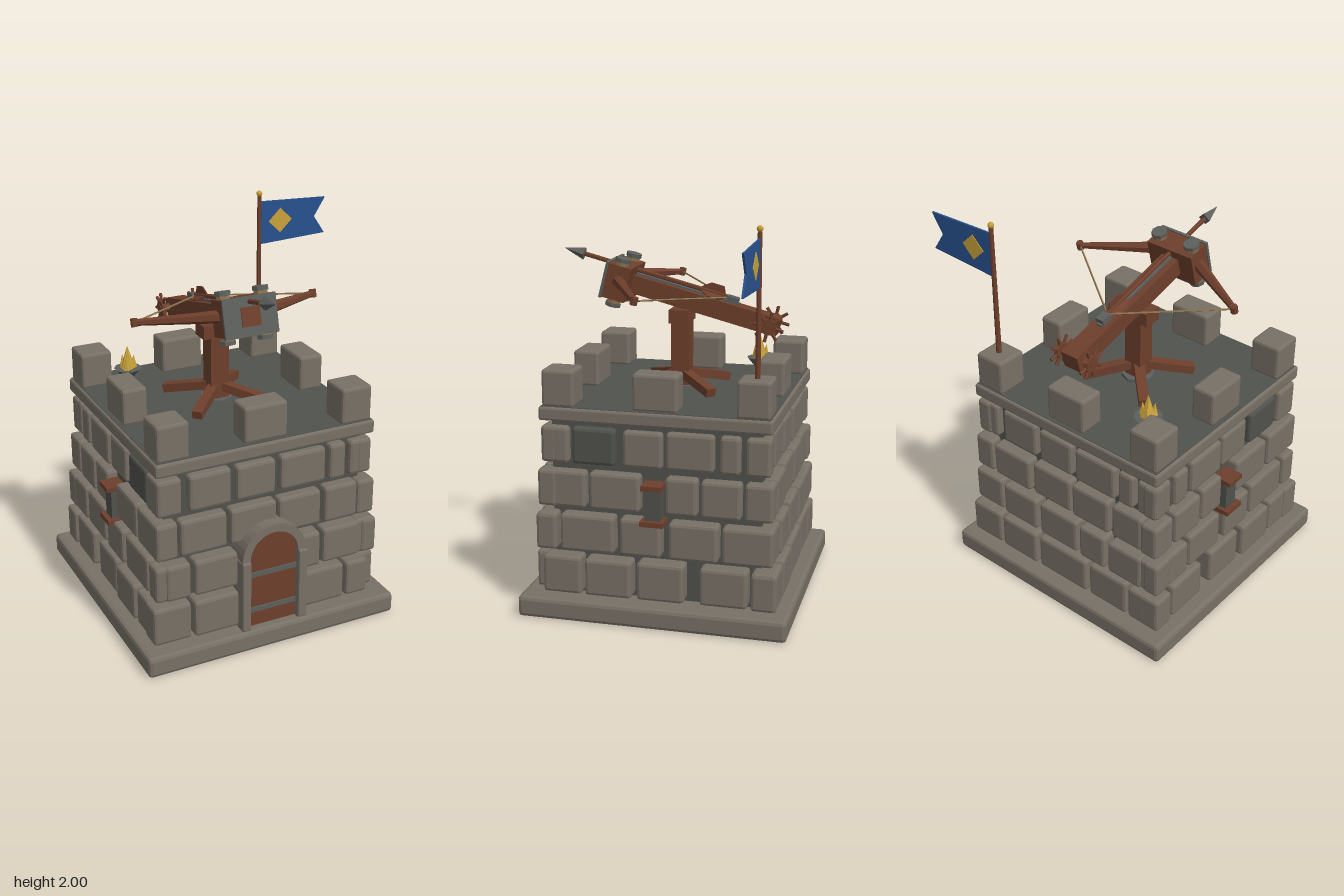
import * as THREE from 'three';
import { RoundedBoxGeometry } from 'three/addons/geometries/RoundedBoxGeometry.js';

const mat = (name, color, side = THREE.FrontSide) =>
  Object.assign(new THREE.MeshStandardMaterial({ color, side }), { name });

export function createModel() {
  const stone = mat('stone', 0x787066), dark = mat('dark mortar', 0x50524d);
  const wood = mat('wood', 0x6e3f2c), iron = mat('iron', 0x5c5f5c);
  const rope = mat('rope', 0x8c7350), gold = mat('gold', 0xc9a23a);
  const blue = mat('blue cloth', 0x28528f, THREE.DoubleSide);

  const root = new THREE.Group();
  root.name = 'towerWithBallista';
  const tower = new THREE.Group();
  tower.name = 'tower';
  tower.position.x = -0.105;
  root.add(tower);

  const flat = (g) => {
    const f = g.index ? g.toNonIndexed() : g;
    f.computeVertexNormals();
    return f;
  };
  const add = (parent, name, geo, m, x = 0, y = 0, z = 0) => {
    const mesh = new THREE.Mesh(geo, m);
    mesh.name = name;
    mesh.position.set(x, y, z);
    parent.add(mesh);
    return mesh;
  };
  // Boxes are given by their limits on each axis; bevel is optional
  const box = (parent, name, m, x0, x1, y0, y1, z0, z1, bevel = 0) => {
    const s = [x1 - x0, y1 - y0, z1 - z0];
    const g = bevel ? flat(new RoundedBoxGeometry(...s, 1, bevel)) : new THREE.BoxGeometry(...s);
    return add(parent, name, g, m, (x0 + x1) / 2, (y0 + y1) / 2, (z0 + z1) / 2);
  };
  const rod = (parent, name, m, a, b, ra, rb = ra, sides = 8) => {
    const p = new THREE.Vector3(...a), q = new THREE.Vector3(...b), d = q.clone().sub(p);
    const mesh = add(parent, name, flat(new THREE.CylinderGeometry(rb, ra, d.length(), sides)), m);
    mesh.position.copy(p).add(q).multiplyScalar(0.5);
    mesh.quaternion.setFromUnitVectors(new THREE.Vector3(0, 1, 0), d.normalize());
    return mesh;
  };

  // Plinth, core, cornice and deck
  box(tower, 'plinth', stone, -0.69, 0.69, 0, 0.11, -0.69, 0.69, 0.02);
  box(tower, 'core', dark, -0.535, 0.535, 0.1, 1.03, -0.535, 0.535);
  box(tower, 'cornice', stone, -0.59, 0.59, 1.015, 1.085, -0.59, 0.59, 0.012);
  box(tower, 'deck', dark, -0.578, 0.578, 1.08, 1.088, -0.578, 0.578);

  // Stone courses: bottom, top, outward reach, spans on front/back and on the sides
  const courses = [
    [0.125, 0.325, 0.63,
      [[-0.63, -0.43], [-0.415, -0.175], [-0.155, 0.165], [0.185, 0.425], [0.44, 0.565]],
      [[-0.57, -0.37], [-0.35, -0.11], [-0.08, 0.16], [0.24, 0.48], [0.5, 0.62]]],
    [0.35, 0.545, 0.617,
      [[-0.555, -0.425], [-0.405, -0.175], [-0.15, 0.1], [0.12, 0.285], [0.305, 0.515], [0.53, 0.617]],
      [[-0.6, -0.5], [-0.48, -0.2], [-0.17, 0.04], [0.08, 0.33], [0.35, 0.605]]],
    [0.575, 0.77, 0.603,
      [[-0.595, -0.485], [-0.47, -0.225], [-0.205, 0.045], [0.06, 0.295], [0.315, 0.5], [0.515, 0.6]],
      [[-0.6, -0.35], [-0.33, -0.07], [0.06, 0.22], [0.24, 0.44], [0.46, 0.6]]],
    [0.8, 0.99, 0.586,
      [[-0.583, -0.455], [-0.415, -0.195], [-0.165, 0.045], [0.075, 0.325], [0.345, 0.435], [0.46, 0.583]],
      [[-0.583, -0.44], [-0.42, -0.2], [-0.16, 0.04], [0.06, 0.3], [0.33, 0.43], [0.46, 0.583]]],
  ];
  let seed = 7;
  const rand = () => (seed = (seed * 16807) % 2147483647) / 2147483647;
  ['front', 'right', 'back', 'left'].forEach((side, k) => {
    const wall = new THREE.Group();
    wall.name = side + 'Wall';
    wall.rotation.y = k * Math.PI / 2;
    tower.add(wall);
    const flip = side === 'left' ? -1 : 1, onSide = k % 2;
    courses.forEach(([y0, y1, reach, face, flank], row) => {
      (onSide ? flank : face).forEach(([a, b], i) => {
        const odd = onSide && row === 3 && i === 1; // one darker block on each flank
        const c = flip * (a + b) / 2, w = (b - a) / 2;
        box(wall, odd ? 'darkBlock' : 'stoneBlock', odd ? dark : stone,
          c - w, c + w, y0, y1 - rand() * 0.008, 0.5, reach - rand() * 0.012, 0.016);
      });
    });
    if (onSide) { // arrow slit with wooden lintel and sill
      box(wall, 'arrowSlit', dark, -0.04, 0.04, 0.54, 0.71, 0.5, 0.61);
      box(wall, 'slitLintel', wood, -0.052, 0.052, 0.705, 0.73, 0.52, 0.637);
      box(wall, 'slitSill', wood, -0.06, 0.06, 0.52, 0.545, 0.52, 0.637);
    }
  });

  // Arched door with stone surround and iron bands
  const arch = (R, r) => {
    const s = new THREE.Shape();
    s.moveTo(-R, 0.11).lineTo(-R, 0.5);
    s.absarc(0, 0.5, R, Math.PI, 0, true);
    s.lineTo(R, 0.11);
    if (r) {
      s.lineTo(r, 0.11).lineTo(r, 0.5);
      s.absarc(0, 0.5, r, 0, Math.PI, false);
      s.lineTo(-r, 0.11);
    }
    return s;
  };
  const slab = (shape, depth) =>
    new THREE.ExtrudeGeometry(shape, { depth, bevelEnabled: false, curveSegments: 8 });
  add(tower, 'doorSurround', slab(arch(0.175, 0.132), 0.16), stone, 0, 0, 0.5);
  add(tower, 'door', slab(arch(0.136), 0.135), wood, 0, 0, 0.5);
  for (const s of [-1, 1]) {
    box(tower, 'doorJamb', stone, s * 0.156 - 0.024, s * 0.156 + 0.024, 0.11, 0.5, 0.55, 0.675, 0.008);
  }
  for (const y of [0.205, 0.405]) box(tower, 'doorBand', iron, -0.132, 0.132, y - 0.013, y + 0.013, 0.6, 0.643);

  // Merlons on corners and edge middles
  for (const i of [-1, 0, 1]) for (const j of [-1, 0, 1]) {
    if (!i && !j) continue;
    const w = i ? (j ? 0.083 : 0.065) : 0.115, d = j ? (i ? 0.083 : 0.068) : 0.115;
    box(tower, 'merlon', stone, i * 0.492 - w, i * 0.492 + w, 1.083, 1.27, j * 0.492 - d, j * 0.492 + d, 0.014);
  }

  // Ballista stand
  const ballista = new THREE.Group();
  ballista.name = 'ballista';
  tower.add(ballista);
  add(ballista, 'standPlate', flat(new THREE.CylinderGeometry(0.085, 0.085, 0.02, 8)), iron, 0, 1.095, 0);
  box(ballista, 'post', wood, -0.05, 0.05, 1.09, 1.5, -0.047, 0.047);
  box(ballista, 'yoke', wood, -0.09, 0.09, 1.435, 1.505, -0.05, 0.05);
  for (const i of [-1, 1]) for (const j of [-1, 1]) {
    const leg = new THREE.Group();
    leg.name = 'standLeg';
    leg.position.set(i * 0.115, 1.135, j * 0.115);
    leg.lookAt(i * 0.215, 1.105, j * 0.215);
    ballista.add(leg);
    box(leg, 'legBeam', wood, -0.026, 0.026, -0.022, 0.022, -0.13, 0.125);
  }

  // Tilted firing assembly
  const bow = new THREE.Group();
  bow.name = 'firingAssembly';
  bow.position.y = 1.56;
  bow.rotation.x = -0.25;
  ballista.add(bow);
  box(bow, 'stock', wood, -0.05, 0.05, -0.048, 0.046, -0.525, 0.405);
  box(bow, 'slideRail', iron, -0.016, 0.016, 0.045, 0.056, -0.3, 0.26);
  box(bow, 'stringCatch', iron, -0.022, 0.022, 0.045, 0.08, -0.29, -0.23);
  box(bow, 'headBlock', wood, -0.138, 0.138, -0.09, 0.09, 0.265, 0.386);
  box(bow, 'headPlate', iron, -0.142, 0.142, -0.096, 0.096, 0.385, 0.4);
  for (const s of [-1, 1]) {
    const x = s * 0.1, tip = [s * 0.485, 0.025, 0.13];
    rod(bow, 'ropeBundle', rope, [x, -0.115, 0.325], [x, 0.115, 0.325], 0.035);
    for (const e of [-1, 1]) rod(bow, 'bundleCap', iron, [x, e * 0.108, 0.325], [x, e * 0.128, 0.325], 0.041);
    rod(bow, 'bowArm', wood, [s * 0.1, 0.01, 0.335], tip, 0.033, 0.016, 6);
    rod(bow, 'bowTip', wood, [tip[0], 0.005, 0.13], [tip[0], 0.045, 0.13], 0.019);
    rod(bow, 'bowString', rope, tip, [0, 0.066, -0.23], 0.005, 0.005, 5);

    // Winch wheel with radial spokes
    const wheel = new THREE.Group();
    wheel.name = 'winchWheel';
    wheel.position.set(s * 0.092, 0, -0.485);
    bow.add(wheel);
    rod(wheel, 'winchHub', wood, [-0.012, 0, 0], [0.012, 0, 0], 0.042, 0.042, 8);
    for (let k = 0; k < 8; k++) {
      const a = k * Math.PI / 4;
      rod(wheel, 'winchSpoke', wood, [0, 0, 0], [0, Math.cos(a) * 0.078, Math.sin(a) * 0.078], 0.009, 0.009, 5);
    }
  }
  rod(bow, 'winchAxle', wood, [-0.108, 0, -0.485], [0.108, 0, -0.485], 0.02);

  // Bolt with head and fletching
  rod(bow, 'boltShaft', wood, [0, 0.07, -0.23], [0, 0.07, 0.575], 0.012, 0.012, 6);
  rod(bow, 'boltHead', iron, [0, 0.07, 0.56], [0, 0.07, 0.67], 0.034, 0.001, 4);
  const fin = new THREE.Shape();
  fin.moveTo(-0.22, 0).lineTo(-0.2, 0.045).lineTo(-0.13, 0.045).lineTo(-0.07, 0);
  for (const a of [0, 2.1, -2.1]) {
    const holder = new THREE.Group();
    holder.name = 'fletching';
    holder.position.y = 0.072;
    holder.rotation.z = a;
    bow.add(holder);
    add(holder, 'fin', slab(fin, 0.006), wood, 0.003).rotation.y = -Math.PI / 2;
  }

  // Brazier on three legs with flame
  const brazier = new THREE.Group();
  brazier.name = 'brazier';
  brazier.position.set(-0.45, 1.088, -0.35);
  root.add(brazier);
  for (let k = 0; k < 3; k++) {
    const a = k * Math.PI * 2 / 3 + 0.5, c = Math.cos(a), s = Math.sin(a);
    rod(brazier, 'brazierLeg', iron, [c * 0.055, 0, s * 0.055], [-c * 0.025, 0.07, -s * 0.025], 0.006, 0.006, 5);
  }
  rod(brazier, 'bowl', iron, [0, 0.05, 0], [0, 0.1, 0], 0.03, 0.072, 10);
  rod(brazier, 'flame', gold, [0, 0.095, 0], [0, 0.22, 0], 0.042, 0.001, 5);
  for (let k = 0; k < 3; k++) {
    const a = k * 2.1;
    rod(brazier, 'smallFlame', gold, [Math.cos(a) * 0.03, 0.095, Math.sin(a) * 0.03],
      [Math.cos(a) * 0.035, 0.165, Math.sin(a) * 0.035], 0.022, 0.001, 5);
  }

  // Flagpole with swallow-tailed flag
  const flag = new THREE.Group();
  flag.name = 'flag';
  flag.position.set(0.39, 0, -0.495);
  root.add(flag);
  rod(flag, 'flagPole', wood, [0, 1.26, 0], [0, 1.97, 0], 0.014, 0.011);
  add(flag, 'finial', new THREE.SphereGeometry(0.016, 10, 8), gold, 0, 1.984, 0);
  const cloth = new THREE.Shape();
  cloth.moveTo(0.01, 1.705).lineTo(0.4, 1.722).lineTo(0.335, 1.82).lineTo(0.4, 1.922).lineTo(0.01, 1.94);
  add(flag, 'cloth', slab(cloth, 0.01), blue, 0, 0, -0.005);
  const diamond = new THREE.Shape();
  diamond.moveTo(0.055, 1.825).lineTo(0.125, 1.757).lineTo(0.195, 1.825).lineTo(0.125, 1.893);
  add(flag, 'diamond', slab(diamond, 0.016), gold, 0, 0, -0.008);
  return root;
}
